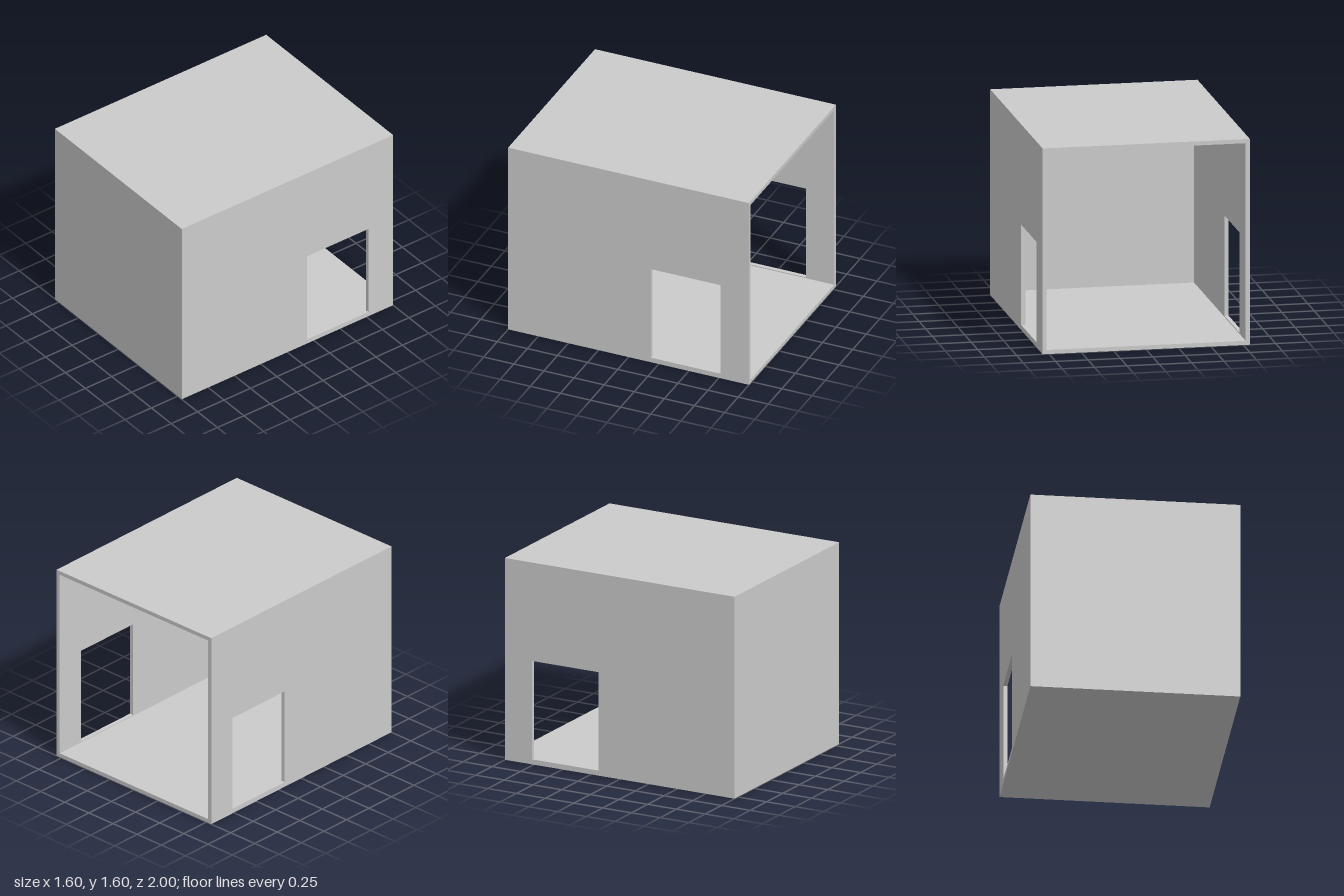
import * as THREE from 'three';

const W = 1.6, H = 1.6, D = 2, T = 0.032; // outer size and wall thickness

const rect = (path, z0, z1, y0, y1) => {
  path.moveTo(z0, y0);
  path.lineTo(z1, y0);
  path.lineTo(z1, y1);
  path.lineTo(z0, y1);
  path.closePath();
  return path;
};

export function createModel() {
  const group = new THREE.Group();
  group.name = 'openBackedRoom';
  const material = new THREE.MeshStandardMaterial({ color: 0xcccccc });

  const add = (name, geometry, x, y, z) => {
    const mesh = new THREE.Mesh(geometry, material);
    mesh.name = name;
    mesh.position.set(x, y, z);
    group.add(mesh);
  };

  // Side walls, each with a doorway near the open back
  const wall = rect(new THREE.Shape(), -D / 2, D / 2, 0, H);
  wall.holes.push(rect(new THREE.Path(), -0.765, -0.185, 0.04, 0.82));
  const wallGeometry = new THREE.ExtrudeGeometry(wall, { depth: T, bevelEnabled: false });
  wallGeometry.rotateY(-Math.PI / 2);
  add('leftWall', wallGeometry, W / 2, 0, 0);
  add('rightWall', wallGeometry, -W / 2 + T, 0, 0);

  // Floor and roof fit between the side walls
  const slab = new THREE.BoxGeometry(W - 2 * T, T, D);
  add('floor', slab, 0, T / 2, 0);
  add('roof', slab, 0, H - T / 2, 0);

  // Solid front wall; the back stays open
  add('frontWall', new THREE.BoxGeometry(W - 2 * T, H - 2 * T, T), 0, H / 2, D / 2 - T / 2);

  return group;
}
